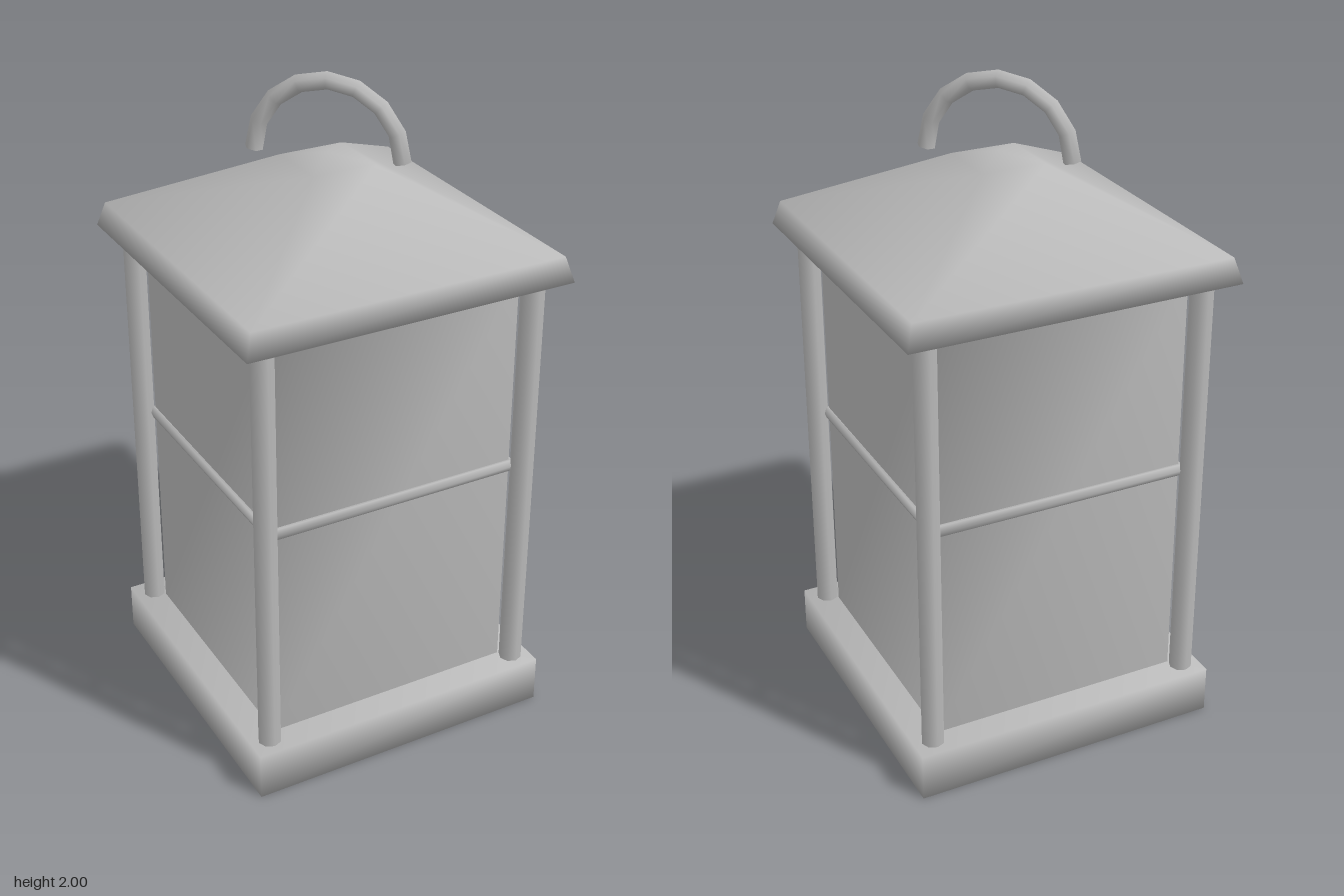
import * as THREE from 'three';
import { mergeVertices } from 'three/addons/utils/BufferGeometryUtils.js';

// Four-sided solid from [radius, y] rings, corners on the axes, smoothed across all edges
function squareStack(rings) {
  const pos = [], idx = [];
  for (const [r, y] of rings)
    for (let i = 0; i < 4; i++) {
      const a = i * Math.PI / 2;
      pos.push(r * Math.sin(a), y, r * Math.cos(a));
    }
  for (let k = 0; k < rings.length - 1; k++)
    for (let i = 0; i < 4; i++) {
      const j = (i + 1) % 4;
      const a = k * 4 + i, b = k * 4 + j, c = a + 4, d = b + 4;
      if (rings[k][0] > 0) idx.push(a, b, d);
      if (rings[k + 1][0] > 0) idx.push(a, d, c);
    }
  const geo = new THREE.BufferGeometry();
  geo.setAttribute('position', new THREE.Float32BufferAttribute(pos, 3));
  geo.setIndex(idx);
  const merged = mergeVertices(geo, 1e-4);
  merged.computeVertexNormals();
  return merged;
}

export function createModel() {
  const group = new THREE.Group();
  const metal = new THREE.MeshStandardMaterial({ color: 0xb8b8b8, side: THREE.DoubleSide });
  metal.name = 'grey metal';

  const add = (name, geo, x = 0, y = 0, z = 0) => {
    const mesh = new THREE.Mesh(geo, metal);
    mesh.name = name;
    mesh.position.set(x, y, z);
    group.add(mesh);
    return mesh;
  };

  // Base slab, lantern panels and roof
  add('base', squareStack([[0, 0], [0.685, 0], [0.685, 0.15], [0, 0.15]]));
  add('panels', squareStack([[0.56, 0.15], [0.56, 1.46]]));
  add('roof', squareStack([[0, 1.46], [0.715, 1.46], [0.685, 1.535], [0.14, 1.745], [0, 1.768]]));

  // Corner posts
  for (let i = 0; i < 4; i++) {
    const a = i * Math.PI / 2;
    add('post', new THREE.CylinderGeometry(0.035, 0.035, 1.32, 8),
      0.6 * Math.sin(a), 0.805, 0.6 * Math.cos(a));
  }

  // Square band around the panels
  const band = new THREE.TorusGeometry(0.562, 0.02, 6, 4);
  band.rotateX(-Math.PI / 2);
  add('band', band, 0, 0.845, 0);

  // Carrying handle: a half ring whose ends are cut square to their last segment
  const R = 0.216, tube = 0.026, tilt = Math.PI / 16;
  const arch = new THREE.TorusGeometry(R, tube, 6, 8, Math.PI);
  const p = arch.attributes.position;
  for (let i = 0; i < p.count; i++)
    if (Math.abs(p.getY(i)) < 1e-4) p.setY(i, (Math.abs(p.getX(i)) - R) * Math.tan(tilt));
  add('handle', arch, 0, 1.758, 0);
  for (const s of [-1, 1]) {
    const cap = new THREE.CircleGeometry(tube, 6);
    cap.rotateX(Math.PI / 2);
    cap.rotateZ(s * tilt);
    add('handleEnd', cap, s * R, 1.758, 0);
  }
  return group;
}
